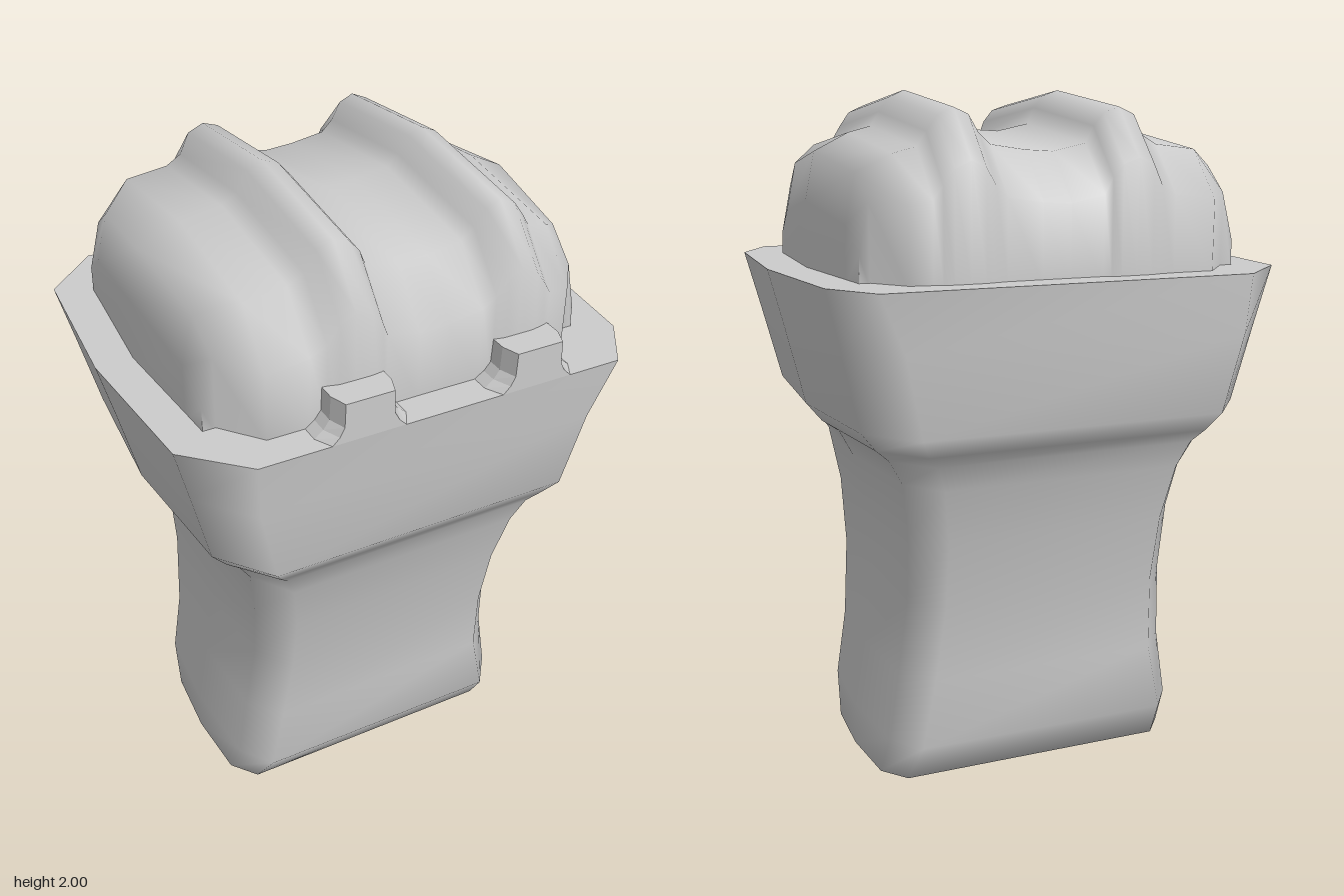
import * as THREE from 'three';

const material = new THREE.MeshStandardMaterial({ color: 0xcccccc });

// Skin a series of equally long point rows; closed joins each row's end to its start
function loft(rows, closed) {
  const n = rows[0].length, index = [];
  for (let i = 0; i < rows.length - 1; i++) {
    for (let j = 0; j < (closed ? n : n - 1); j++) {
      const k = (j + 1) % n;
      const a = i * n + j, b = i * n + k, c = a + n, d = b + n;
      index.push(a, c, b, b, c, d);
    }
  }
  const g = new THREE.BufferGeometry();
  g.setAttribute('position', new THREE.Float32BufferAttribute(rows.flat(2), 3));
  g.setIndex(index);
  g.computeVertexNormals();
  return g;
}

function part(name, geometry, parent) {
  const mesh = new THREE.Mesh(geometry, material);
  mesh.name = name;
  parent.add(mesh);
  return mesh;
}

// Ten-sided outline: bowed sides (xm, xc), chamfered corners, flat front and back (xf, zf)
function outline([y, xm, xc, xf, zc, zf, shift = 0]) {
  const r = xf + shift, l = -xf + shift;
  return [
    [xm, y, 0], [xc, y, zc], [r, y, zf], [l, y, zf], [-xc, y, zc],
    [-xm, y, 0], [-xc, y, -zc], [l, y, -zf], [r, y, -zf], [xc, y, -zc],
  ];
}

export function createModel() {
  const model = new THREE.Group();
  model.name = 'fist';

  // Forearm and cuff, from the keel underneath up to the rim
  const levels = [
    [0.0, 0.39, 0.385, 0.38, 0, 0],
    [0.045, 0.475, 0.46, 0.40, 0.21, 0.285],
    [0.17, 0.47, 0.45, 0.38, 0.27, 0.365],
    [0.37, 0.435, 0.42, 0.34, 0.27, 0.365],
    [0.60, 0.415, 0.40, 0.32, 0.30, 0.40],
    [0.80, 0.425, 0.405, 0.325, 0.33, 0.44],
    [0.96, 0.46, 0.43, 0.35, 0.365, 0.48],
    [1.035, 0.50, 0.475, 0.38, 0.39, 0.505],
    [1.07, 0.55, 0.515, 0.41, 0.405, 0.53],
    [1.125, 0.595, 0.56, 0.44, 0.42, 0.57],
    [1.35, 0.65, 0.615, 0.49, 0.44, 0.592],
    [1.515, 0.693, 0.657, 0.53, 0.455, 0.605, 0.03],
  ];
  const rings = levels.map(outline);
  part('forearm', loft(rings, true), model);

  // Flat rim closing the cuff
  const rim = rings[rings.length - 1];
  const rimShape = new THREE.Shape(rim.map(([x, , z]) => new THREE.Vector2(x, -z)));
  const top = part('cuffRim', new THREE.ShapeGeometry(rimShape).rotateX(-Math.PI / 2), model);
  top.position.y = 1.515;

  // Fist: crest height along x, with two raised ridges running front to back
  const crest = [
    [-0.586, 1.50], [-0.585, 1.70], [-0.55, 1.835], [-0.43, 1.885], [-0.31, 1.90],
    [-0.265, 1.925], [-0.235, 1.98], [-0.19, 2.0], [-0.145, 1.985], [-0.115, 1.95],
    [-0.095, 1.905], [0, 1.885], [0.08, 1.89], [0.18, 1.905], [0.215, 1.935],
    [0.245, 1.982], [0.285, 2.0], [0.33, 1.98], [0.36, 1.94], [0.385, 1.902],
    [0.45, 1.885], [0.55, 1.835], [0.578, 1.70], [0.581, 1.50],
  ];
  const columns = crest.map(([x, h], i) => {
    const edge = THREE.MathUtils.clamp((Math.abs(x) - 0.44) / 0.11, 0, 1);
    const ridge = THREE.MathUtils.clamp((h - 1.9) / 0.07, 0, 1);
    const zf = THREE.MathUtils.lerp(0.507 + 0.013 * ridge, 0.40, edge);
    const zm = zf * 0.76;
    const wall = i === 0 || i === crest.length - 1;
    const drop = wall ? 0 : 1;
    const bow = (z) => x - Math.sign(x) * 0.03 * edge * Math.min(1, z / 0.39);
    return [
      [bow(zf), 1.5, zf], [bow(zf), h - 0.185 * drop * (1 - 0.35 * edge), zf],
      [bow(zm), h - 0.045 * drop, zm], [x, h, 0], [bow(zm), h - 0.045 * drop, -zm],
      [bow(zf), h - 0.175 * drop * (1 - 0.35 * edge), -zf], [bow(zf), 1.5, -zf],
    ];
  });
  part('knuckles', loft(columns, false), model);

  // Flared knobs where the ridges meet the rim at the front
  const half = [[0.13, 0], [0.105, 0.02], [0.088, 0.045], [0.085, 0.112]];
  const profile = [...half, ...half.map(([x, y]) => [-x, y]).reverse()];
  const knobShape = new THREE.Shape(profile.map(([x, y]) => new THREE.Vector2(x, y)));
  for (const x of [-0.195, 0.3]) {
    const g = new THREE.ExtrudeGeometry(knobShape, { depth: 0.145, steps: 3, bevelEnabled: false });
    const p = g.attributes.position;
    for (let i = 0; i < p.count; i++) {
      if (p.getZ(i) > 0.14) p.setX(i, p.getX(i) * 0.8);
    }
    g.computeVertexNormals();
    part('ridgeKnob', g, model).position.set(x, 1.515, 0.46);
  }

  return model;
}
